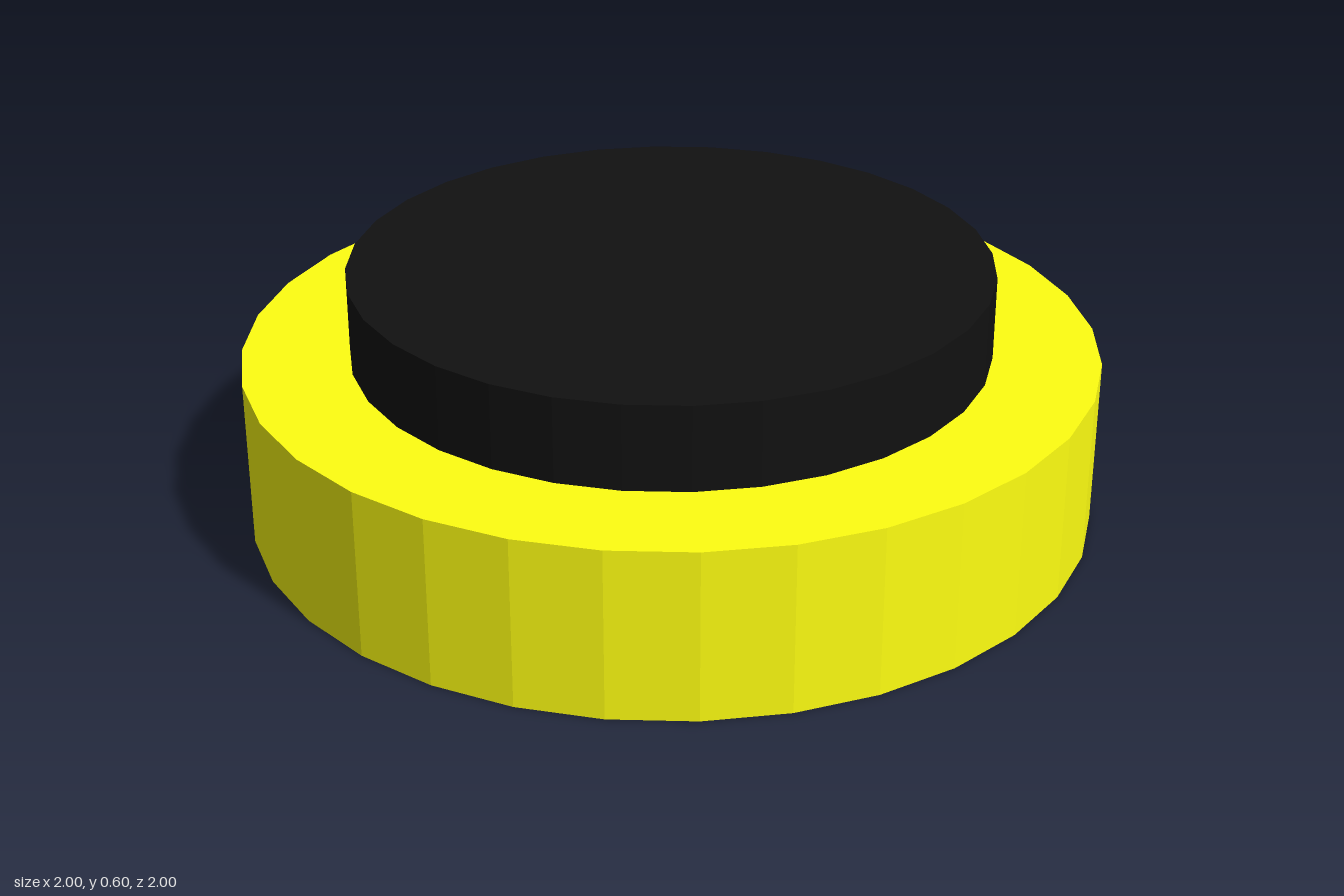
import * as THREE from 'three';

const SIDES = 32;

// Faceted upright disc standing on the given height
function disc(name, radius, height, bottom, color) {
  const material = new THREE.MeshStandardMaterial({ color, flatShading: true });
  const mesh = new THREE.Mesh(new THREE.CylinderGeometry(radius, radius, height, SIDES), material);
  mesh.name = name;
  mesh.position.y = bottom + height / 2;
  return mesh;
}

export function createModel() {
  const group = new THREE.Group();
  group.name = 'pushButton';
  // Wide yellow housing with the narrower black cap on top
  group.add(disc('base', 1, 0.4, 0, 0xffff11));
  group.add(disc('cap', 0.75, 0.2, 0.4, 0x111111));
  return group;
}
